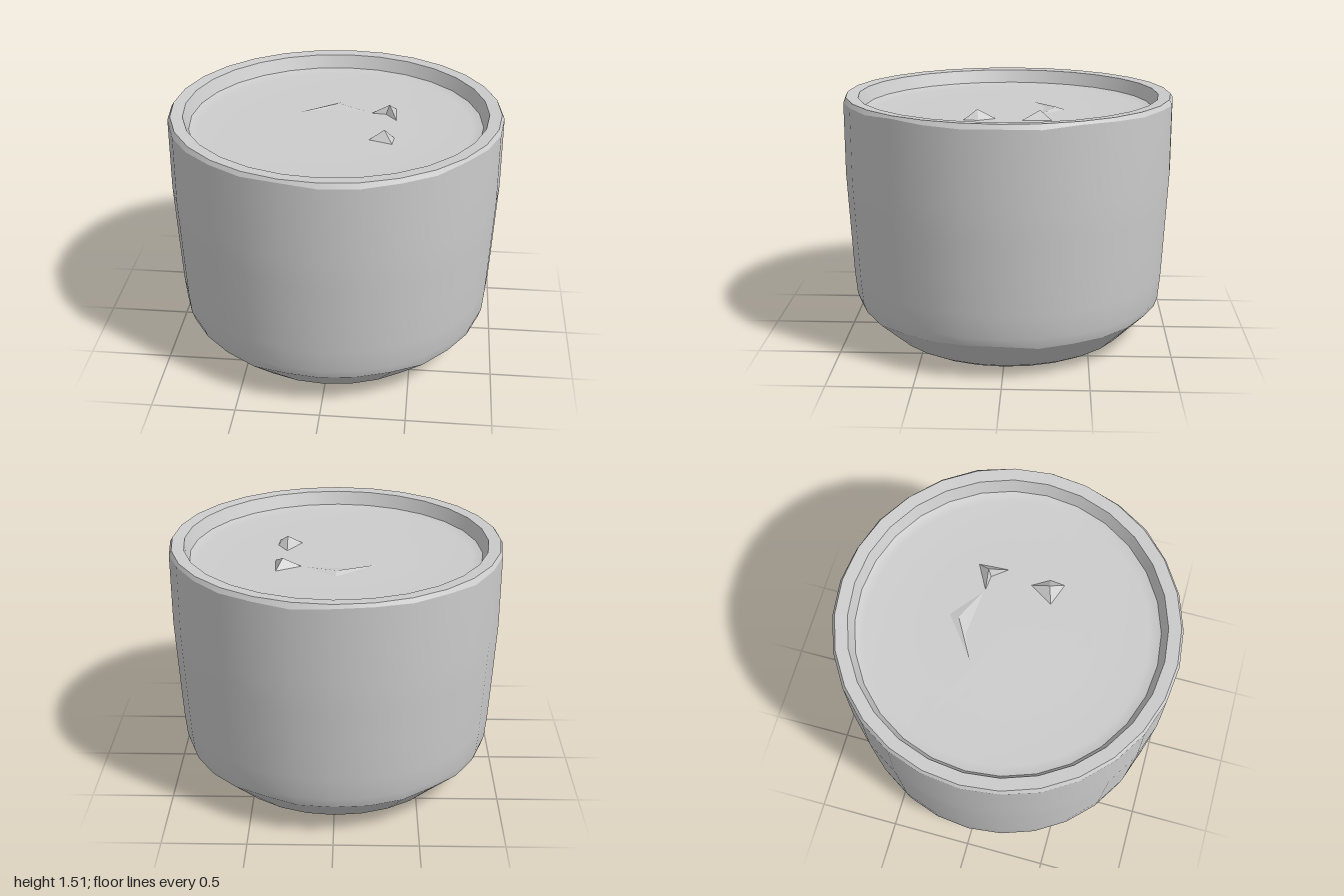
import * as THREE from 'three';
import { mergeVertices, toCreasedNormals } from 'three/addons/utils/BufferGeometryUtils.js';

const SEGMENTS = 28;

export function createModel() {
  const model = new THREE.Group();
  model.name = 'pot';
  const clay = new THREE.MeshStandardMaterial({ color: 0xcccccc });
  clay.name = 'grey clay';

  const add = (name, geometry) => {
    const mesh = new THREE.Mesh(geometry, clay);
    mesh.name = name;
    model.add(mesh);
  };

  // Slight hand-made waviness, the same for every part at a given angle and height
  const wobble = (angle, y) => 0.006 * Math.sin(5 * angle + 3 * y) + 0.006 * Math.sin(11 * angle + 1);

  // Turned part; the profile runs so that its outside lies to the right of travel
  const turned = (name, profile, wavyHeights = []) => {
    const geometry = new THREE.LatheGeometry(profile.map(([r, y]) => new THREE.Vector2(r, y)), SEGMENTS);
    const p = geometry.attributes.position;
    for (let i = 0; i < p.count; i++) {
      const y = p.getY(i);
      if (wavyHeights.includes(Math.round(y * 1000) / 1000)) {
        p.setY(i, y + wobble(Math.atan2(p.getZ(i), p.getX(i)), y));
      }
    }
    add(name, geometry);
  };

  // Underside: recessed disc, sloping recess wall and flat foot ring
  turned('recessFloor', [[0, 0.07], [0.47, 0.07]]);
  turned('recessWall', [[0.47, 0.07], [0.55, 0]]);
  turned('footRing', [[0.55, 0], [0.68, 0]]);

  // Outside: sloping base, gently swelling wall, bevelled rim
  turned('slopingBase', [[0.68, 0], [0.735, 0.03], [0.935, 0.22]], [0.22]);
  turned('wall', [[0.935, 0.22], [0.955, 0.28], [0.968, 0.42], [0.98, 0.65], [0.99, 0.85], [1, 1.05], [1, 1.49]], [0.22, 1.49]);
  turned('rimBevel', [[1, 1.49], [0.985, 1.515]], [1.49]);
  turned('rimTop', [[0.985, 1.515], [0.912, 1.51]]);

  // Inside of the rim and the sunken lid
  turned('innerWall', [[0.912, 1.51], [0.88, 1.43]]);
  turned('lid', [[0.88, 1.43], [0.82, 1.412], [0.5, 1.41], [0, 1.41]]);

  // Small faceted lump: base corners in order around a raised peak
  const lump = (name, corners, peak, baseY) => {
    const points = [];
    corners.forEach(([x, z], i) => {
      const [nx, nz] = corners[(i + 1) % corners.length];
      points.push(x, baseY, z, nx, baseY, nz, ...peak);
    });
    const geometry = new THREE.BufferGeometry();
    geometry.setAttribute('position', new THREE.Float32BufferAttribute(points, 3));
    add(name, toCreasedNormals(mergeVertices(geometry), 0.2));
  };

  // Worn relief on the lid
  lump('backLidLump', [[0.2, -0.19], [0.29, -0.18], [0.36, -0.09], [0.35, -0.27]], [0.31, 1.465, -0.2], 1.409);
  lump('frontLidLump', [[0.21, 0.2], [0.35, 0.25], [0.36, 0.16], [0.3, 0.06]], [0.3, 1.465, 0.17], 1.409);
  lump('lidRidge', [[-0.26, -0.15], [-0.1, -0.22], [0.2, -0.19], [0, -0.35]], [-0.01, 1.425, -0.29], 1.409);

  // Worn star in the middle of the underside, its peak pointing down
  const star = [];
  for (let i = 0; i < 10; i++) {
    const a = (i / 10) * Math.PI * 2;
    const r = i % 2 ? 0.08 : 0.14;
    star.push([r * Math.cos(a), r * Math.sin(a)]);
  }
  lump('undersideStar', star, [0, 0.03, 0], 0.071);

  return model;
}
